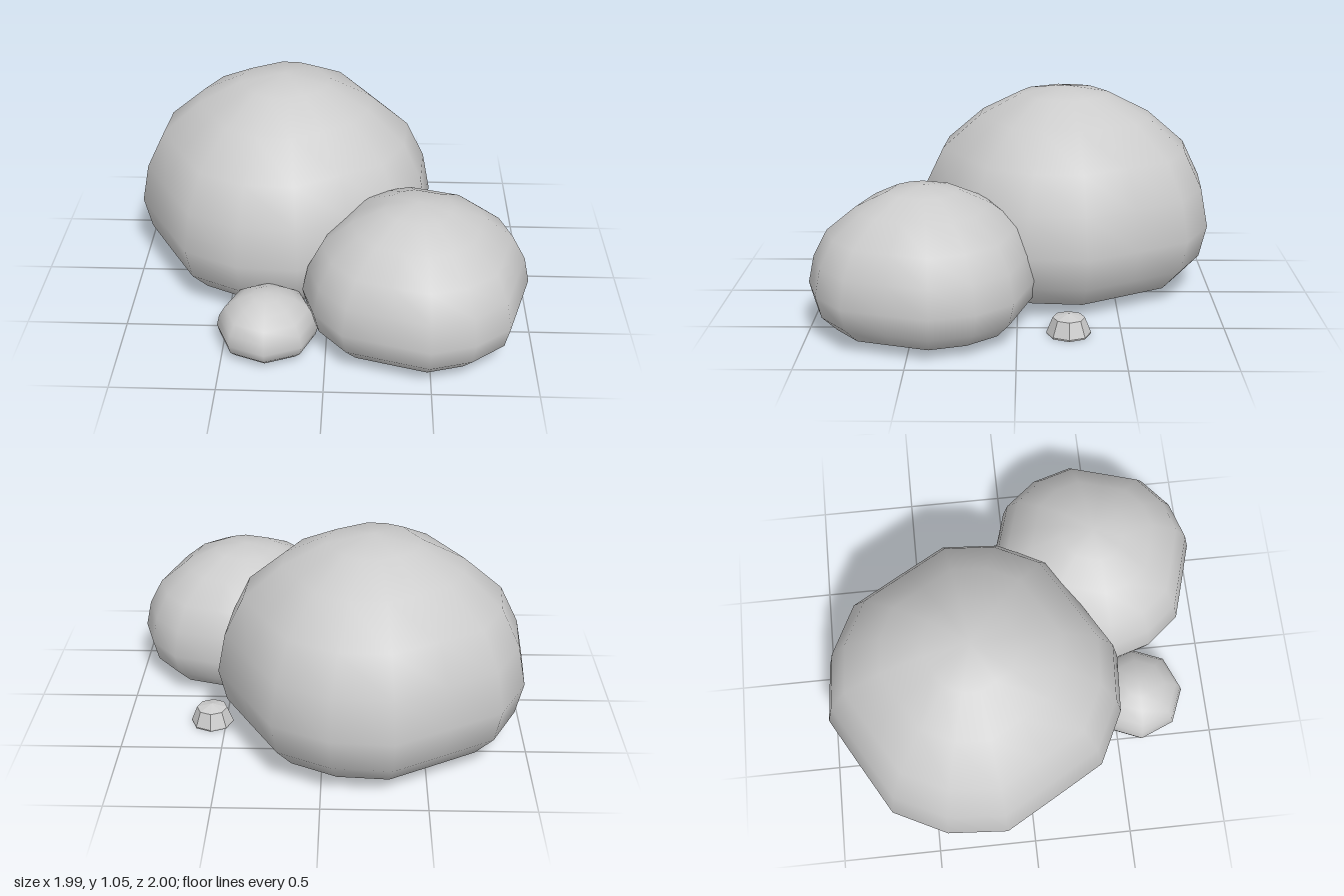
import * as THREE from 'three';
import { mergeVertices } from 'three/addons/utils/BufferGeometryUtils.js';

// Shared boulder profile: [radius, height], flat underneath and domed above
const BOULDER = [[0, 0.008], [0.6, 0.018], [0.82, 0.07], [0.95, 0.175], [1, 0.33],
  [0.95, 0.52], [0.83, 0.7], [0.58, 0.858], [0.3, 0.963], [0, 1]];
const PEBBLE = [[0, 0], [0.98, 0], [1, 0.08], [0.72, 0.8], [0, 1]];

function rock({ name, x, z, radius, height, turn, sides, chamfer = 0, profile = BOULDER, flat = false }) {
  const points = profile.map(([r, y]) => new THREE.Vector2(r * radius, y * height));
  let geometry = new THREE.LatheGeometry(points, sides);

  // Cut the four corners back to give straight facets around the sides
  const p = geometry.attributes.position;
  for (let i = 0; i < p.count; i++) {
    const angle = Math.atan2(p.getX(i), p.getZ(i));
    const k = 1 - chamfer * Math.max(0, Math.cos(4 * angle));
    p.setX(i, p.getX(i) * k);
    p.setZ(i, p.getZ(i) * k);
  }

  // Weld the seam and poles for continuous smooth normals
  geometry.deleteAttribute('uv');
  geometry.deleteAttribute('normal');
  geometry = mergeVertices(geometry, 1e-5);
  geometry.computeVertexNormals();

  const material = new THREE.MeshStandardMaterial({ color: 0xcccccc, flatShading: flat });
  const mesh = new THREE.Mesh(geometry, material);
  mesh.name = name;
  mesh.position.set(x, 0, z);
  mesh.rotation.y = turn;
  return mesh;
}

export function createModel() {
  const group = new THREE.Group();
  group.name = 'rockCluster';
  group.add(
    rock({ name: 'largeBoulder', x: -0.24, z: -0.24, radius: 0.765, height: 1.05, turn: 0.52, sides: 16, chamfer: 0.075 }),
    rock({ name: 'mediumBoulder', x: 0.435, z: 0.445, radius: 0.558, height: 0.7, turn: 1.28, sides: 16, chamfer: 0.075 }),
    rock({ name: 'smallRock', x: -0.285, z: 0.62, radius: 0.246, height: 0.287, turn: 0, sides: 8 }),
    rock({ name: 'pebble', x: 0.57, z: -0.247, radius: 0.107, height: 0.105, turn: 0, sides: 8, profile: PEBBLE, flat: true }),
  );
  return group;
}
